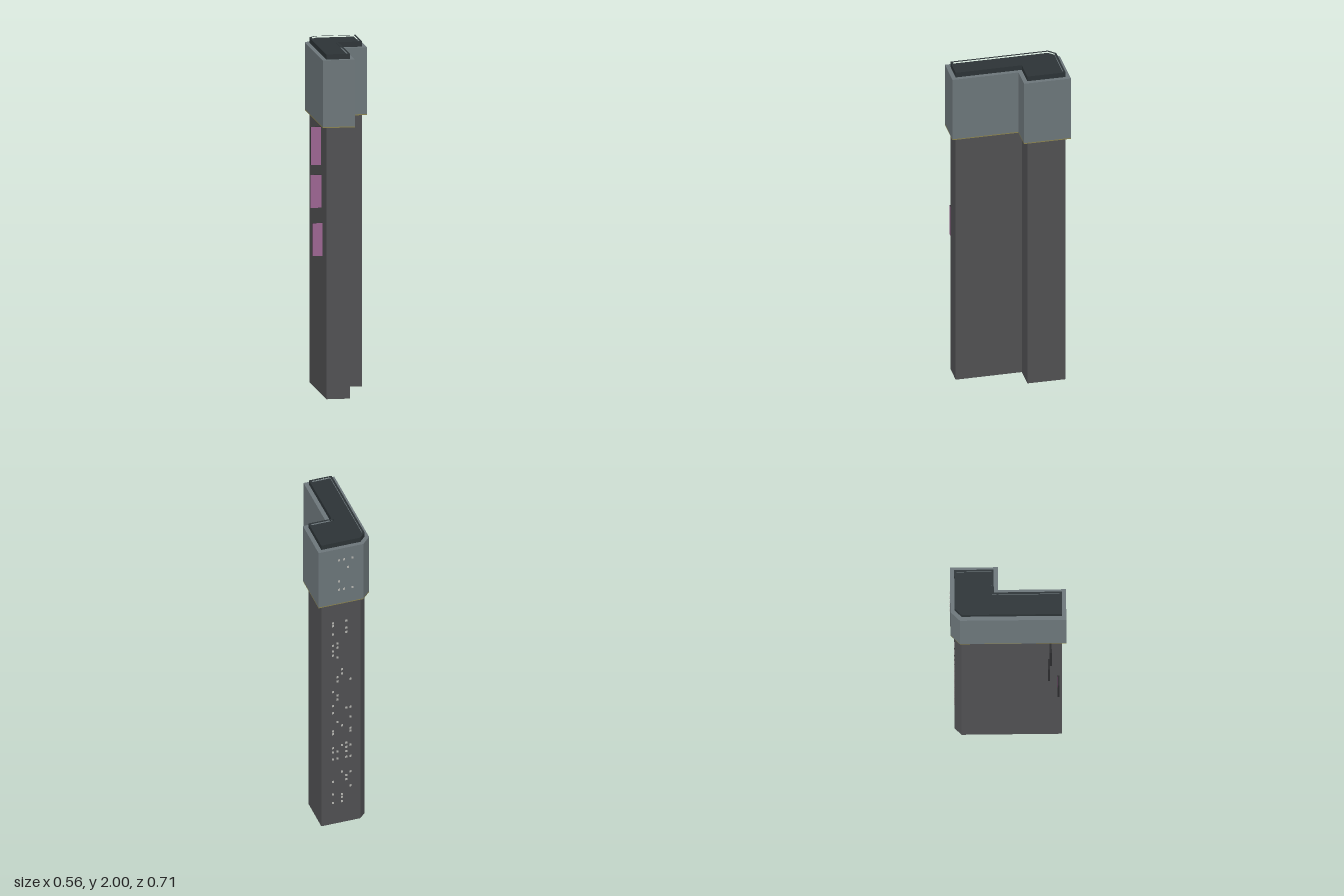
import * as THREE from 'three';
import { mergeGeometries } from 'three/addons/utils/BufferGeometryUtils.js';

const mat = (color) => new THREE.MeshStandardMaterial({ color });

// Floor plans as [x, z] corners
const towerPlan = [[-0.09, -0.32], [0.068, -0.16], [-0.03, -0.062], [0.245, 0.212], [0.148, 0.308], [-0.257, -0.098], [-0.257, -0.153]];
const crownPlan = [[-0.09, -0.355], [0.104, -0.16], [0.006, -0.062], [0.28, 0.212], [0.148, 0.343], [-0.281, -0.088], [-0.281, -0.164]];
const roofPlan = [[-0.09, -0.303], [0.052, -0.16], [-0.046, -0.062], [0.228, 0.212], [0.148, 0.291], [-0.245, -0.103], [-0.245, -0.148]];

const toPoints = (plan) => plan.map(([x, z]) => new THREE.Vector2(x, -z));

// Upright prism over a plan, with an optional opening
function prism(name, plan, y0, y1, material, holePlan) {
  const shape = new THREE.Shape(toPoints(plan));
  if (holePlan) shape.holes.push(new THREE.Path(toPoints(holePlan)));
  const geo = new THREE.ExtrudeGeometry(shape, { depth: y1 - y0, bevelEnabled: false });
  geo.rotateX(-Math.PI / 2).translate(0, y0, 0);
  const mesh = new THREE.Mesh(geo, material);
  mesh.name = name;
  return mesh;
}

// Small lit windows on the back-left wall, where x + z = wallSum
function windows(name, columns, wallSum, material) {
  const parts = [];
  for (const [x, heights] of columns) {
    for (const y of heights) {
      const pane = new THREE.BoxGeometry(0.012, 0.013, 0.003);
      parts.push(pane.rotateY(Math.PI / 4).translate(x, y, wallSum - x));
    }
  }
  const mesh = new THREE.Mesh(mergeGeometries(parts), material);
  mesh.name = name;
  return mesh;
}

export function createModel() {
  const model = new THREE.Group();
  const wall = mat(0x505052);
  const crown = mat(0x6c767a);
  const roof = mat(0x2c3336);
  const frame = mat(0x2a2a2c);
  const pink = mat(0x9c6492);
  const lit = mat(0xb4b4b0);

  // Shaft, crown and the thin light strip under the crown
  model.add(
    prism('shaft', towerPlan, 0, 1.96, wall),
    prism('crown', crownPlan, 1.583, 1.97, crown),
    prism('lightStrip', crownPlan, 1.577, 1.583, mat(0x8a8350)),
  );

  // Roof deck inside a low parapet
  model.add(
    prism('roofDeck', roofPlan, 1.96, 1.992, roof),
    prism('parapet', towerPlan, 1.96, 2, roof, roofPlan),
  );

  // Blade signs standing out from the long wall: inner x, outer x, x + z, bottom, top
  const signs = [
    [0.087, 0.046, 0.364, 1.35, 1.57],
    [0.084, 0.039, 0.35, 1.1, 1.29],
    [0.12, 0.077, 0.426, 0.83, 1.02],
  ];
  for (const [xIn, xOut, sum, y0, y1] of signs) {
    const x = (xIn + xOut) / 2;
    const geo = new THREE.BoxGeometry(0.012, y1 - y0, (xIn - xOut) * Math.SQRT2);
    const sign = new THREE.Mesh(geo, [pink, pink, frame, frame, frame, frame]);
    sign.name = 'bladeSign';
    sign.position.set(x, (y0 + y1) / 2, sum - x);
    sign.rotation.y = -Math.PI / 4;
    model.add(sign);
  }

  // Window columns: x, then heights
  model.add(windows('shaftWindows', [
    [-0.215, [1.01, 0.81, 0.74, 0.66, 0.64, 0.54, 0.46, 0.35, 0.25]],
    [-0.197, [1.43, 1.38, 1.35, 0.81, 0.56, 0.53, 0.5, 0.46, 0.33, 0.3]],
    [-0.178, [1.09, 1.06, 0.69, 0.55, 0.36, 0.2, 0.18, 0.15]],
    [-0.16, [1.28, 1.25, 1.18, 1.04, 1.01, 0.91, 0.88, 0.72, 0.51, 0.46]],
    [-0.14, [1.43, 1.41, 1.35, 1.27, 1.23, 1.2, 0.94, 0.84, 0.79, 0.66, 0.64, 0.54, 0.51, 0.46, 0.3, 0.21, 0.15]],
  ], -0.411, lit));
  model.add(windows('crownWindows', [
    [-0.235, [1.89, 1.68]],
    [-0.216, [1.83]],
    [-0.198, [1.89, 1.68]],
    [-0.178, [1.89, 1.74, 1.68]],
  ], -0.446, lit));

  return model;
}
